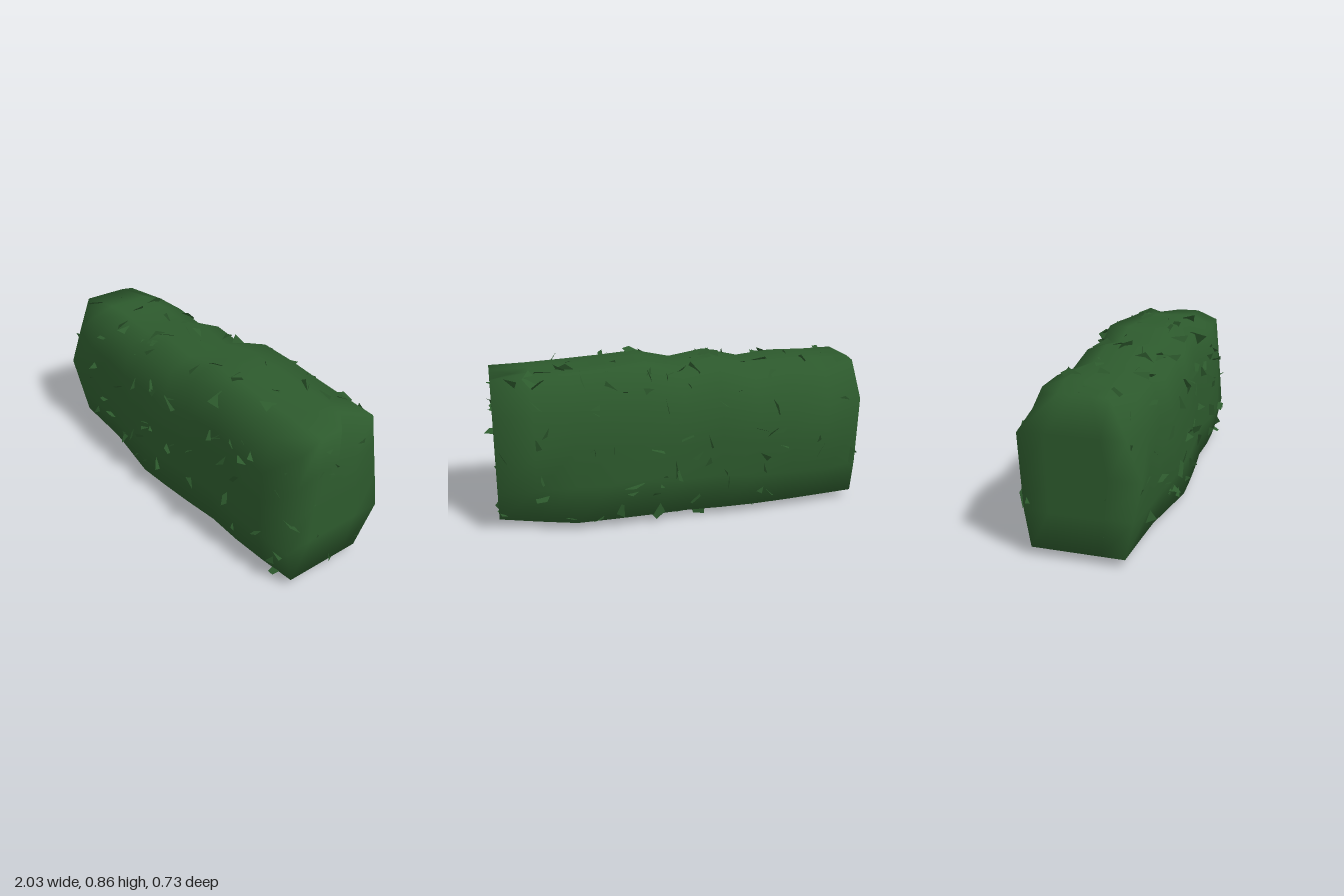
import * as THREE from 'three';
import { mergeVertices, mergeGeometries } from 'three/addons/utils/BufferGeometryUtils.js';

// Small seeded random generator
function seeded(seed) {
  return () => {
    seed = (seed * 1664525 + 1013904223) % 4294967296;
    return seed / 4294967296;
  };
}

// Linear interpolation through [x, value] pairs
function along(points, x) {
  for (let i = 1; i < points.length; i++) {
    const [x0, v0] = points[i - 1], [x1, v1] = points[i];
    if (x <= x1) return THREE.MathUtils.lerp(v0, v1, THREE.MathUtils.clamp((x - x0) / (x1 - x0), 0, 1));
  }
  return points[points.length - 1][1];
}

// Outlines along the length
const BOTTOM = 0.058;
const TOP = [[-0.98, 0.805], [-0.62, 0.82], [-0.38, 0.795], [-0.22, 0.845], [0, 0.81], [0.18, 0.855], [0.7, 0.82], [0.97, 0.815]];
const WIDEST = {
  front: [[-0.98, 0.28], [-0.6, 0.3], [-0.2, 0.32], [0.1, 0.305], [0.4, 0.28], [0.65, 0.31], [0.97, 0.29]],
  back: [[-0.98, 0.29], [-0.7, 0.33], [-0.3, 0.31], [-0.03, 0.29], [0.3, 0.325], [0.75, 0.3], [0.97, 0.29]],
};
const FOOT = {
  front: [[-0.98, 0.23], [-0.6, 0.25], [-0.2, 0.315], [0.1, 0.3], [0.4, 0.27], [0.65, 0.28], [0.97, 0.255]],
  back: [[-0.98, 0.22], [-0.55, 0.27], [-0.3, 0.29], [0, 0.28], [0.25, 0.3], [0.6, 0.31], [0.97, 0.17]],
};
// How far the top edges sit below the crest
const DROP = {
  front: [[-0.98, 0], [-0.75, 0.04], [-0.2, 0.06], [0.2, 0.05], [0.97, 0.05]],
  back: [[-0.98, 0.01], [-0.75, 0.05], [-0.3, 0.04], [0, 0.02], [0.2, 0], [0.97, 0]],
};
// Relative widths of the five rows between the ends, from the ground up
const MIDDLE = { front: [1, 1, 0.99, 0.96, 0.82], back: [1, 0.99, 1, 0.97, 0.7] };
// Half widths of the rows at the two ends
const RIGHT_END = { front: [0.23, 0.27, 0.31, 0.24, 0.165], back: [0.22, 0.25, 0.26, 0.27, 0.14] };
const LEFT_END = { front: [0.255, 0.29, 0.275, 0.258, 0.24], back: [0.17, 0.3, 0.27, 0.235, 0.2] };

// Clipped hedge block: a box whose vertices follow the uneven outlines
function hedgeGeometry() {
  let geo = new THREE.BoxGeometry(1.95, 1, 2, 10, 4, 4);
  geo.deleteAttribute('normal');
  geo.deleteAttribute('uv');
  geo.clearGroups();
  geo = mergeVertices(geo);
  const p = geo.attributes.position;
  for (let i = 0; i < p.count; i++) {
    const x = p.getX(i) - 0.005, t = p.getY(i) + 0.5, s = p.getZ(i);
    const side = s > 0 ? 'front' : 'back', row = Math.round(t * 4);
    let half = along((row === 0 ? FOOT : WIDEST)[side], x) * MIDDLE[side][row];
    if (x > 0.95) half = LEFT_END[side][row];
    if (x < -0.95) half = RIGHT_END[side][row];
    const drop = Math.abs(s) > 0.9 ? along(DROP[side], x) : 0;
    // Dent in the top of one end
    const dent = x > 0.95 && Math.abs(s + 0.5) < 0.1 && row === 4 ? 0.11 : 0;
    p.setXYZ(i, x - dent, BOTTOM + t * (along(TOP, x) - BOTTOM - drop), s * half);
  }
  geo.computeVertexNormals();
  return geo;
}

// One flat, irregular leaf with four or five corners
function leafGeometry(rand) {
  const corners = rand() < 0.7 ? 4 : 5, size = 0.038 + rand() * 0.024;
  const points = [];
  for (let i = 0; i < corners; i++) {
    const a = (i + (rand() - 0.5) * 0.5) / corners * Math.PI * 2;
    points.push(new THREE.Vector2(Math.cos(a) * size * (1 + rand() * 0.3), Math.sin(a) * size * 0.75));
  }
  return new THREE.ShapeGeometry(new THREE.Shape(points));
}

// Leaves scattered over the surface, half sunk at random angles
function leavesGeometry(hedge, count) {
  const rand = seeded(17), p = hedge.attributes.position, index = hedge.index;
  const tri = new THREE.Triangle(), at = new THREE.Vector3(), normal = new THREE.Vector3();
  const leaves = [];
  while (leaves.length < count) {
    const f = Math.floor(rand() * index.count / 3) * 3;
    tri.setFromAttributeAndIndices(p, index.getX(f), index.getX(f + 1), index.getX(f + 2));
    if (rand() > tri.getArea() / 0.02) continue;
    let u = rand(), v = rand();
    if (u + v > 1) { u = 1 - u; v = 1 - v; }
    at.copy(tri.a).multiplyScalar(1 - u - v).addScaledVector(tri.b, u).addScaledVector(tri.c, v);
    tri.getNormal(normal);
    // Leaves on the two ends sit deeper
    at.addScaledVector(normal, Math.abs(normal.x) > 0.7 ? -0.03 : rand() * 0.02 - 0.022);
    const leaf = leafGeometry(rand);
    leaf.rotateX(rand() * 6.28).rotateY(rand() * 6.28).rotateZ(rand() * 6.28);
    leaf.translate(at.x, Math.max(at.y, 0.066), at.z);
    leaves.push(leaf);
  }
  return mergeGeometries(leaves);
}

export function createModel() {
  const group = new THREE.Group();
  group.name = 'hedge';
  const green = new THREE.MeshStandardMaterial({ color: 0x2d5a2d, side: THREE.DoubleSide });
  green.name = 'hedge green';

  const body = new THREE.Mesh(hedgeGeometry(), green);
  body.name = 'hedgeBody';
  const leaves = new THREE.Mesh(leavesGeometry(body.geometry, 200), green);
  leaves.name = 'leaves';
  group.add(body, leaves);
  return group;
}
